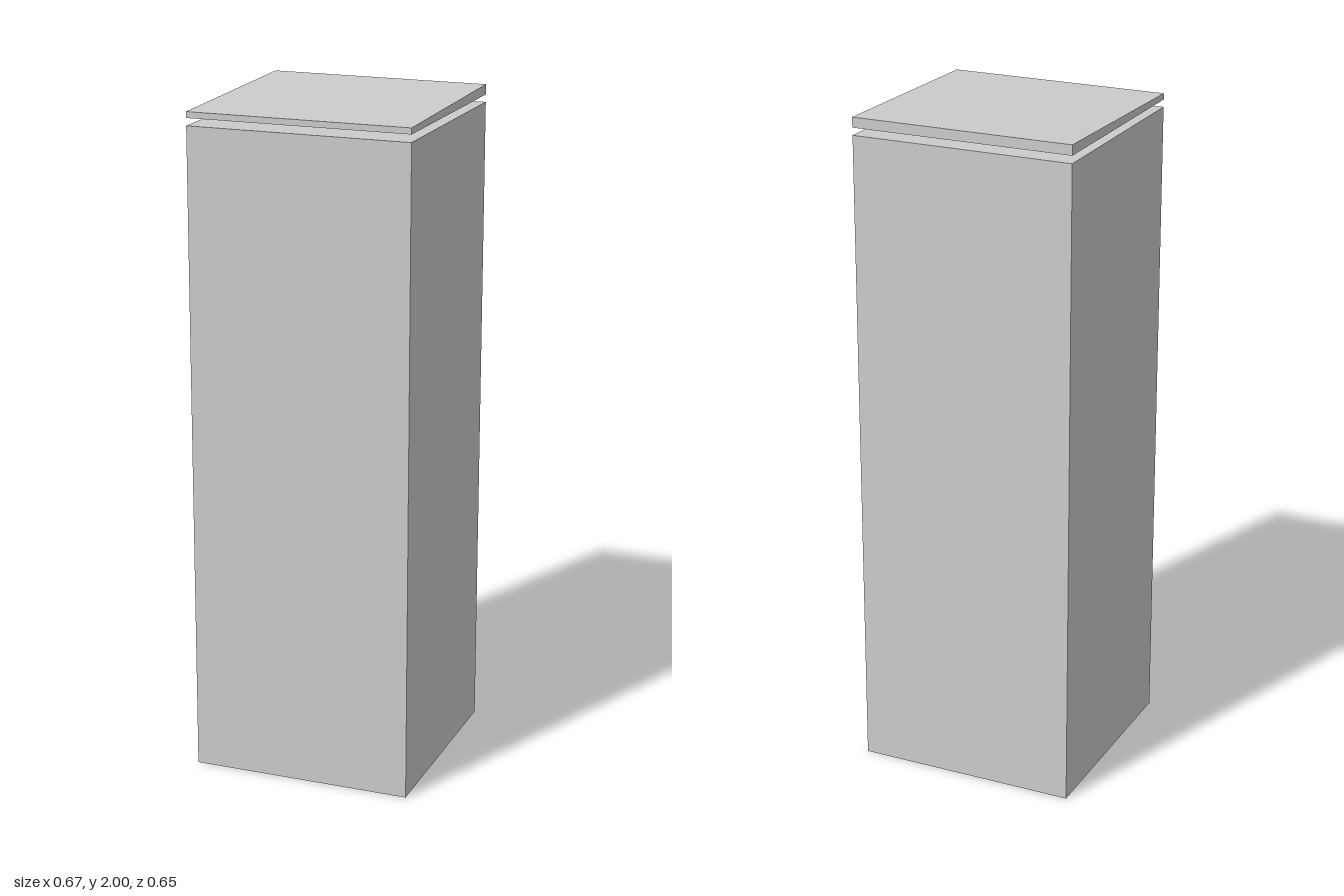
import * as THREE from 'three';

const W = 0.666, D = 0.652; // footprint

export function createModel() {
  const group = new THREE.Group();
  const material = new THREE.MeshStandardMaterial({ color: 0xcccccc, flatShading: true });

  function addBox(name, w, d, y0, y1) {
    const mesh = new THREE.Mesh(new THREE.BoxGeometry(w, y1 - y0, d), material);
    mesh.position.y = (y0 + y1) / 2;
    mesh.name = name;
    group.add(mesh);
    return mesh;
  }

  // Tall column with a thin base plate
  addBox('basePlate', W, D, 0, 0.005);
  addBox('body', W, D, 0.005, 1.948);

  // Short neck and thin mounting plate under the cap
  addBox('neck', 0.16, 0.16, 1.948, 1.967);
  addBox('mountingPlate', 0.51, 0.5, 1.967, 1.97);

  // Cap slab, its top sloping down towards the front
  const cap = addBox('cap', W, D, 1.97, 2);
  const pos = cap.geometry.attributes.position;
  for (let i = 0; i < pos.count; i++) {
    if (pos.getY(i) > 0 && pos.getZ(i) > 0) pos.setY(i, pos.getY(i) - 0.012);
  }
  cap.geometry.computeVertexNormals();

  return group;
}
